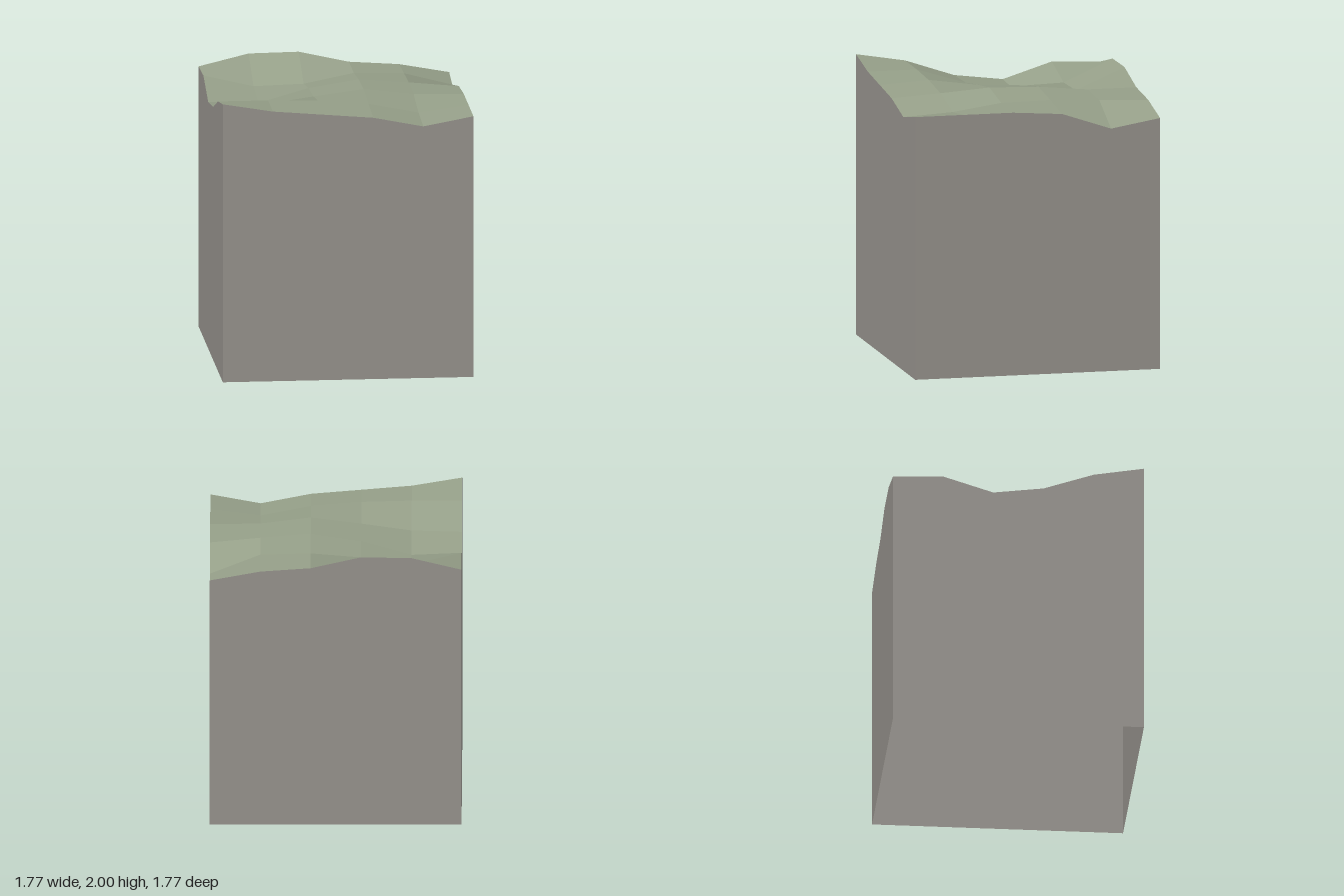
import * as THREE from 'three';

const HALF = 0.883, CELLS = 5;

// Ground heights: rows run from back to front, columns from x- to x+
const HEIGHTS = [
  [1.87, 1.955, 1.96, 1.88, 1.855, 1.79],
  [1.885, 1.80, 1.81, 1.88, 1.87, 1.73],
  [1.775, 1.76, 1.86, 1.915, 1.885, 1.85],
  [1.82, 1.83, 1.88, 1.925, 1.88, 1.875],
  [1.94, 1.94, 1.93, 1.90, 1.83, 1.875],
  [2.0, 1.94, 1.91, 1.88, 1.81, 1.875],
];

const at = (i) => -HALF + (2 * HALF * i) / CELLS;
const ground = (i, j) => new THREE.Vector3(at(i), HEIGHTS[j][i], at(j));

// Flat-shaded quads, corners counter-clockwise, one normal for each quad
function quadGeometry(quads) {
  const positions = [], normals = [];
  for (const [a, b, c, d] of quads) {
    const n = c.clone().sub(a).cross(d.clone().sub(b)).normalize();
    for (const p of [a, b, c, a, c, d]) {
      positions.push(p.x, p.y, p.z);
      normals.push(n.x, n.y, n.z);
    }
  }
  const g = new THREE.BufferGeometry();
  g.setAttribute('position', new THREE.Float32BufferAttribute(positions, 3));
  g.setAttribute('normal', new THREE.Float32BufferAttribute(normals, 3));
  return g;
}

export function createModel() {
  const group = new THREE.Group();
  group.name = 'terrainBlock';
  const grass = new THREE.MeshStandardMaterial({ name: 'grass green', color: 0x97a18a, side: THREE.DoubleSide });
  const stone = new THREE.MeshStandardMaterial({ name: 'stone grey', color: 0x9a9690, side: THREE.DoubleSide });

  const add = (name, quads, material) => {
    const mesh = new THREE.Mesh(quadGeometry(quads), material);
    mesh.name = name;
    group.add(mesh);
  };

  // Uneven ground on top
  const top = [];
  for (let j = 0; j < CELLS; j++) {
    for (let i = 0; i < CELLS; i++) {
      top.push([ground(i, j), ground(i, j + 1), ground(i + 1, j + 1), ground(i + 1, j)]);
    }
  }
  add('ground', top, grass);

  // Four walls following the ground's rim; the underside is open
  const rims = {
    frontWall: (k) => ground(k, CELLS),
    rightSideWall: (k) => ground(CELLS, CELLS - k),
    backWall: (k) => ground(CELLS - k, 0),
    leftSideWall: (k) => ground(0, k),
  };
  for (const [name, rim] of Object.entries(rims)) {
    const wall = [];
    for (let k = 0; k < CELLS; k++) {
      const a = rim(k), b = rim(k + 1);
      wall.push([a.clone().setY(0), b.clone().setY(0), b, a]);
    }
    add(name, wall, stone);
  }
  return group;
}
